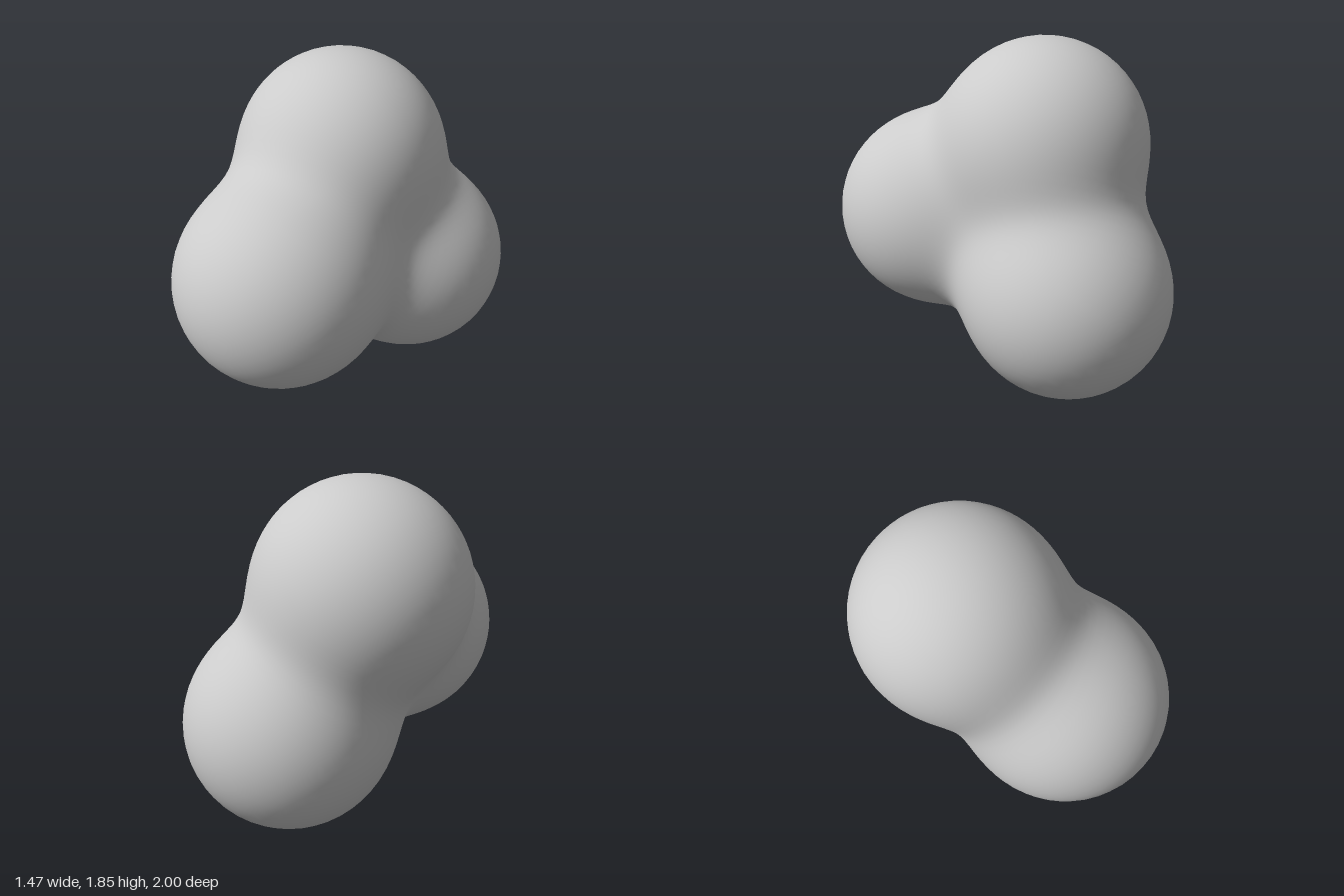
import * as THREE from 'three';
import { mergeVertices } from 'three/addons/utils/BufferGeometryUtils.js';

// Three balls that melt into one another: centre and radius
const balls = [
  { centre: new THREE.Vector3(-0.165, 0.8, 0.432), radius: 0.568 }, // front
  { centre: new THREE.Vector3(-0.15, 1.285, -0.2), radius: 0.565 }, // top
  { centre: new THREE.Vector3(0.167, 0.563, -0.437), radius: 0.563 }, // back
];
const SHARPNESS = 9.2; // lower values give wider blends between the balls

// Smooth union distance to the three balls
function distanceTo(p) {
  let sum = 0;
  for (const { centre, radius } of balls) {
    sum += Math.exp(-SHARPNESS * (p.distanceTo(centre) - radius));
  }
  return -Math.log(sum) / SHARPNESS;
}

// Push a sphere's vertices out from a point inside all balls to the blended skin
function blobGeometry() {
  const core = new THREE.Vector3(-0.05, 0.88, -0.07);
  let geometry = new THREE.IcosahedronGeometry(1, 16);
  geometry.deleteAttribute('uv');
  geometry.deleteAttribute('normal');
  geometry = mergeVertices(geometry, 1e-4);
  const position = geometry.attributes.position;
  const direction = new THREE.Vector3();
  const p = new THREE.Vector3();
  for (let i = 0; i < position.count; i++) {
    direction.fromBufferAttribute(position, i).normalize();
    let near = 0, far = 2;
    for (let step = 0; step < 24; step++) {
      const middle = (near + far) / 2;
      p.copy(core).addScaledVector(direction, middle);
      if (distanceTo(p) < 0) near = middle;
      else far = middle;
    }
    position.setXYZ(i, p.x, p.y, p.z);
  }
  geometry.computeVertexNormals();
  return geometry;
}

export function createModel() {
  const model = new THREE.Group();
  model.name = 'mergedBlobs';
  const skin = new THREE.Mesh(blobGeometry(), new THREE.MeshStandardMaterial({ color: 0xcccccc }));
  skin.name = 'blobSkin';
  model.add(skin);
  return model;
}
